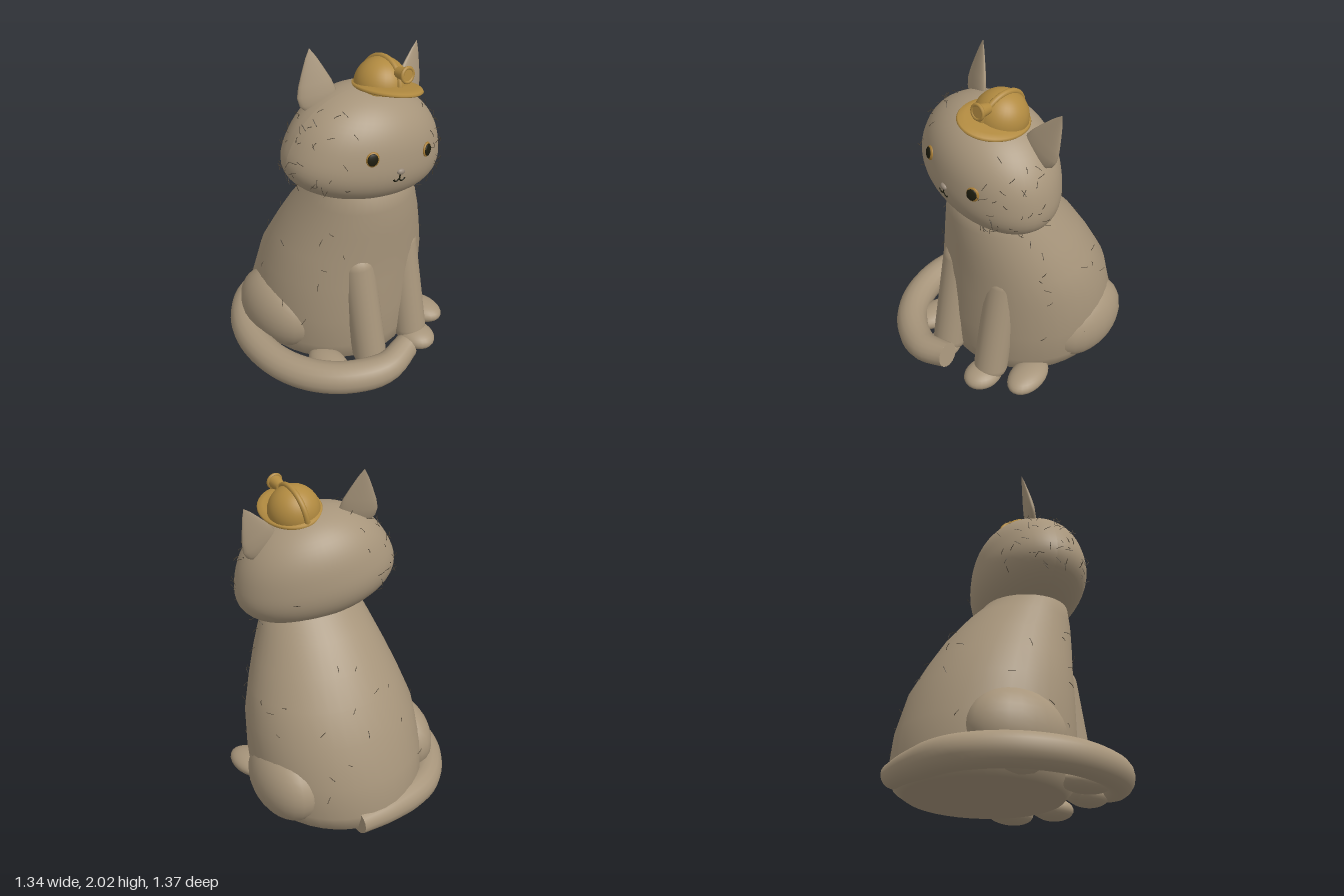
import * as THREE from 'three';
import { mergeGeometries } from 'three/addons/utils/BufferGeometryUtils.js';

const mat = (name, color, side = THREE.FrontSide) => {
  const m = new THREE.MeshStandardMaterial({ color, side });
  m.name = name;
  return m;
};

export function createModel() {
  const fur = mat('fur', 0xa7957b);
  const yellow = mat('helmetYellow', 0xb18a40);
  const gold = mat('eyeGold', 0xa67c35);
  const black = mat('pupilBlack', 0x1d1c0e);
  const noseGrey = mat('noseGrey', 0x968878);
  const hairBrown = mat('hairBrown', 0x4a4134, THREE.DoubleSide);

  let seed = 7;
  const rand = () => (seed = (seed * 16807) % 2147483647) / 2147483647;
  const V = (x, y, z) => new THREE.Vector3(x, y, z);

  const cat = new THREE.Group();
  cat.name = 'sittingCat';
  const add = (parent, name, geo, material, pos = [0, 0, 0], rot = [0, 0, 0], scale = [1, 1, 1]) => {
    const m = new THREE.Mesh(geo, material);
    m.name = name;
    m.position.set(...pos);
    m.rotation.set(...rot);
    m.scale.set(...scale);
    parent.add(m);
    return m;
  };

  // Body: elliptical rings [y, centre x, half width, front z, back z]
  const rings = [
    [0.005, 0.07, 0, -0.12, -0.12], [0.005, 0.07, 0.43, 0.33, -0.58], [0.05, 0.07, 0.49, 0.37, -0.64],
    [0.15, 0.08, 0.525, 0.39, -0.66], [0.35, 0.085, 0.535, 0.4, -0.63], [0.6, 0.095, 0.515, 0.4, -0.55],
    [0.78, 0.095, 0.46, 0.405, -0.45], [0.94, 0.09, 0.4, 0.415, -0.35], [1.1, 0.08, 0.335, 0.415, -0.22],
    [1.2, 0.075, 0.295, 0.4, -0.12], [1.35, 0.07, 0.2, 0.3, -0.02], [1.35, 0.07, 0, 0.15, 0.15],
  ];
  const loft = (rows, n) => {
    const pos = [], index = [];
    rows.forEach(([y, cx, rx, zf, zb], i) => {
      for (let j = 0; j < n; j++) {
        const a = (j / n) * Math.PI * 2;
        pos.push(cx + rx * Math.sin(a), y, (zf + zb) / 2 + ((zf - zb) / 2) * Math.cos(a));
        if (i === rows.length - 1) continue;
        const p = i * n + j, q = i * n + ((j + 1) % n);
        index.push(p, q, p + n, q, q + n, p + n);
      }
    });
    const g = new THREE.BufferGeometry();
    g.setAttribute('position', new THREE.Float32BufferAttribute(pos, 3));
    g.setIndex(index);
    g.computeVertexNormals();
    return g;
  };
  const bodyGeo = loft(rings, 40);
  add(cat, 'body', bodyGeo, fur);

  // Haunches, front legs and paws
  const ball = new THREE.SphereGeometry(1, 24, 16);
  add(cat, 'leftHaunch', ball, fur, [0.48, 0.26, -0.19], [0, 0, 0], [0.19, 0.245, 0.3]);
  add(cat, 'rightHaunch', ball, fur, [-0.34, 0.26, -0.17], [0, 0, 0], [0.19, 0.245, 0.3]);
  for (const [side, x, hindX] of [['left', 0.255, 0.46], ['right', -0.1, -0.33]]) {
    const turn = side === 'left' ? 0.15 : -0.15;
    add(cat, side + 'FrontLeg', new THREE.CapsuleGeometry(0.103, 0.6, 8, 20), fur, [x, 0.41, 0.335], [-0.19, 0, 0]);
    add(cat, side + 'FrontPaw', ball, fur, [x - 0.005, 0.066, 0.455], [0, 0, 0], [0.105, 0.066, 0.13]);
    add(cat, side + 'HindPaw', ball, fur, [hindX, 0.066, 0.28], [0, turn, 0], [0.105, 0.066, 0.165]);
  }

  // Tail wrapped round the right side, thinner at both flat ends
  const path = new THREE.CatmullRomCurve3([
    V(0.24, 0.1, -0.61), V(0, 0.1, -0.6), V(-0.3, 0.1, -0.52), V(-0.5, 0.1, -0.3), V(-0.573, 0.1, 0),
    V(-0.525, 0.1, 0.25), V(-0.38, 0.11, 0.46), V(-0.15, 0.13, 0.585), V(0.05, 0.165, 0.56),
  ]);
  const segs = 48, sides = 16, tailR = 0.097;
  const tailScale = (t) => Math.min(1, 0.75 + t * 1.5, 0.8 + (1 - t) * 1.5);
  const tailGeo = new THREE.TubeGeometry(path, segs, tailR, sides);
  const tp = tailGeo.attributes.position, v = V(0, 0, 0);
  for (let i = 0; i < tp.count; i++) {
    const t = Math.floor(i / (sides + 1)) / segs, c = path.getPointAt(t);
    v.fromBufferAttribute(tp, i).sub(c).multiplyScalar(tailScale(t)).add(c);
    tp.setXYZ(i, v.x, v.y, v.z);
  }
  add(cat, 'tail', tailGeo, fur);
  for (const t of [0, 1]) {
    const p = path.getPointAt(t), d = path.getTangentAt(t).multiplyScalar(t ? 1 : -1);
    const cap = add(cat, t ? 'tailTip' : 'tailRoot', new THREE.CircleGeometry(tailR * tailScale(t), sides), fur, p.toArray());
    cap.lookAt(p.clone().add(d));
  }

  // Head: rounded, wider at the cheeks, tilted and turned
  const head = new THREE.Group();
  head.name = 'head';
  head.position.set(0.055, 1.46, 0.155);
  head.rotation.set(0, -0.2, -0.17, 'YXZ');
  cat.add(head);
  const headGeo = new THREE.SphereGeometry(1, 48, 32);
  const hp = headGeo.attributes.position;
  for (let i = 0; i < hp.count; i++) {
    const s = hp.getY(i), x = hp.getX(i), z = hp.getZ(i), h = Math.hypot(x, z) || 1;
    const r = Math.pow(Math.max(0, 1 - Math.pow(Math.abs(s), 2.5)), 0.4545) / h;
    hp.setXYZ(i, x * r * 0.47 * (1 - 0.22 * s), s * 0.322, z * r * 0.335 * (1 - 0.1 * s));
  }
  headGeo.computeVertexNormals();
  headGeo.computeBoundingSphere();
  const skull = new THREE.Mesh(headGeo, fur);
  skull.name = 'skull';
  const ray = new THREE.Raycaster();
  const onFace = (x, y) => {
    ray.set(V(x, y, 2), V(0, 0, -1));
    const hit = ray.intersectObject(skull)[0];
    return { p: hit.point.clone(), n: hit.face.normal.clone() };
  };

  // Eyes: thin gold discs with dark pupils
  for (const s of [1, -1]) {
    const { p, n } = onFace(0.04 + s * 0.19, 0.03);
    const eye = new THREE.Group();
    eye.name = s > 0 ? 'leftEye' : 'rightEye';
    eye.position.copy(p);
    eye.lookAt(p.clone().add(n));
    add(eye, 'iris', ball, gold, [0, 0, 0], [0, 0, 0], [0.039, 0.043, 0.014]);
    add(eye, 'pupil', ball, black, [-0.003, 0, 0.009], [0, 0, 0], [0.031, 0.035, 0.009]);
    head.add(eye);
  }

  // Nose and mouth
  add(head, 'nose', ball, noseGrey, onFace(0.035, -0.055).p.toArray(), [0, 0, 0], [0.025, 0.018, 0.016]);
  const line = (name, pts) => add(head, name, new THREE.TubeGeometry(
    new THREE.CatmullRomCurve3(pts.map(([x, y]) => onFace(0.035 + x, y).p)), 12, 0.005, 6), black);
  line('mouthLine', [[0, -0.07], [0, -0.085], [0, -0.1]]);
  for (const s of [1, -1]) {
    line('mouthCurve', [[0, -0.098], [s * 0.012, -0.112], [s * 0.028, -0.112], [s * 0.04, -0.098]]);
  }

  // Ears: flattened leaf shapes
  const earGeo = new THREE.LatheGeometry([
    [0, -0.1], [0.07, -0.075], [0.105, -0.03], [0.112, 0.02], [0.095, 0.08], [0.065, 0.15], [0.03, 0.225], [0, 0.275],
  ].map(([x, y]) => new THREE.Vector2(x, y)), 20);
  for (const s of [1, -1]) {
    add(head, s > 0 ? 'leftEar' : 'rightEar', earGeo, fur, [s * 0.3, 0.24, -0.075], [-0.16, s * 0.25, -s * 0.22], [1, 1, 0.25]);
  }

  // Miner's helmet
  const helmet = new THREE.Group();
  helmet.name = 'helmet';
  helmet.position.set(0.047, 0.325, 0.01);
  helmet.rotation.set(-0.16, 0.14, 0);
  head.add(helmet);
  add(helmet, 'dome', new THREE.SphereGeometry(0.152, 32, 16, 0, Math.PI * 2, 0, Math.PI * 0.58), yellow);
  const brimGeo = new THREE.LatheGeometry([
    [0, -0.012], [0.8, -0.012], [0.97, -0.016], [1, -0.008], [0.97, 0.002], [0.8, 0.012], [0, 0.016],
  ].map(([x, y]) => new THREE.Vector2(x, y)), 40);
  add(helmet, 'brim', brimGeo, yellow, [0, 0, 0.05], [0, 0, 0], [0.176, 1, 0.225]);
  add(helmet, 'crest', new THREE.TorusGeometry(0.152, 0.017, 10, 32, Math.PI), yellow, [0, 0, 0], [0, Math.PI / 2, 0]);
  add(helmet, 'lampBody', new THREE.CylinderGeometry(0.042, 0.03, 0.08, 20), yellow, [0, 0.09, 0.165], [Math.PI / 2, 0, 0]);
  add(helmet, 'lampRim', new THREE.TorusGeometry(0.04, 0.01, 8, 24), yellow, [0, 0.09, 0.2]);

  // Stray hairs: small curved strands leaning over the surface
  const hairs = (geo, count, keep) => {
    const pos = geo.attributes.position, nor = geo.attributes.normal, idx = geo.index, out = [];
    while (out.length < count) {
      const f = Math.floor(rand() * (idx.count / 3)) * 3;
      const p = V(0, 0, 0), n = V(0, 0, 0);
      const a = rand(), b = rand() * (1 - a);
      [a, b, 1 - a - b].forEach((w, k) => {
        p.addScaledVector(v.fromBufferAttribute(pos, idx.getX(f + k)), w);
        n.addScaledVector(v.fromBufferAttribute(nor, idx.getX(f + k)), w);
      });
      n.normalize();
      const t = V(rand() - 0.5, rand() - 0.5, rand() - 0.5).cross(n).normalize();
      if (!keep(p)) continue;
      const mid = p.clone().addScaledVector(n, 0.014).addScaledVector(t, 0.012);
      const end = p.clone().addScaledVector(n, 0.02).addScaledVector(t, 0.038);
      out.push(new THREE.TubeGeometry(new THREE.QuadraticBezierCurve3(p, mid, end), 4, 0.0018, 4));
    }
    return mergeGeometries(out);
  };
  add(head, 'headHairs', hairs(headGeo, 90, (p) => Math.abs(p.x) > 0.24 && p.y > -0.24), hairBrown);
  add(cat, 'bodyHairs', hairs(bodyGeo, 36, (p) => p.y > 0.1 && p.y < 1.1 && p.z < 0.3), hairBrown);
  head.add(skull);

  return cat;
}
